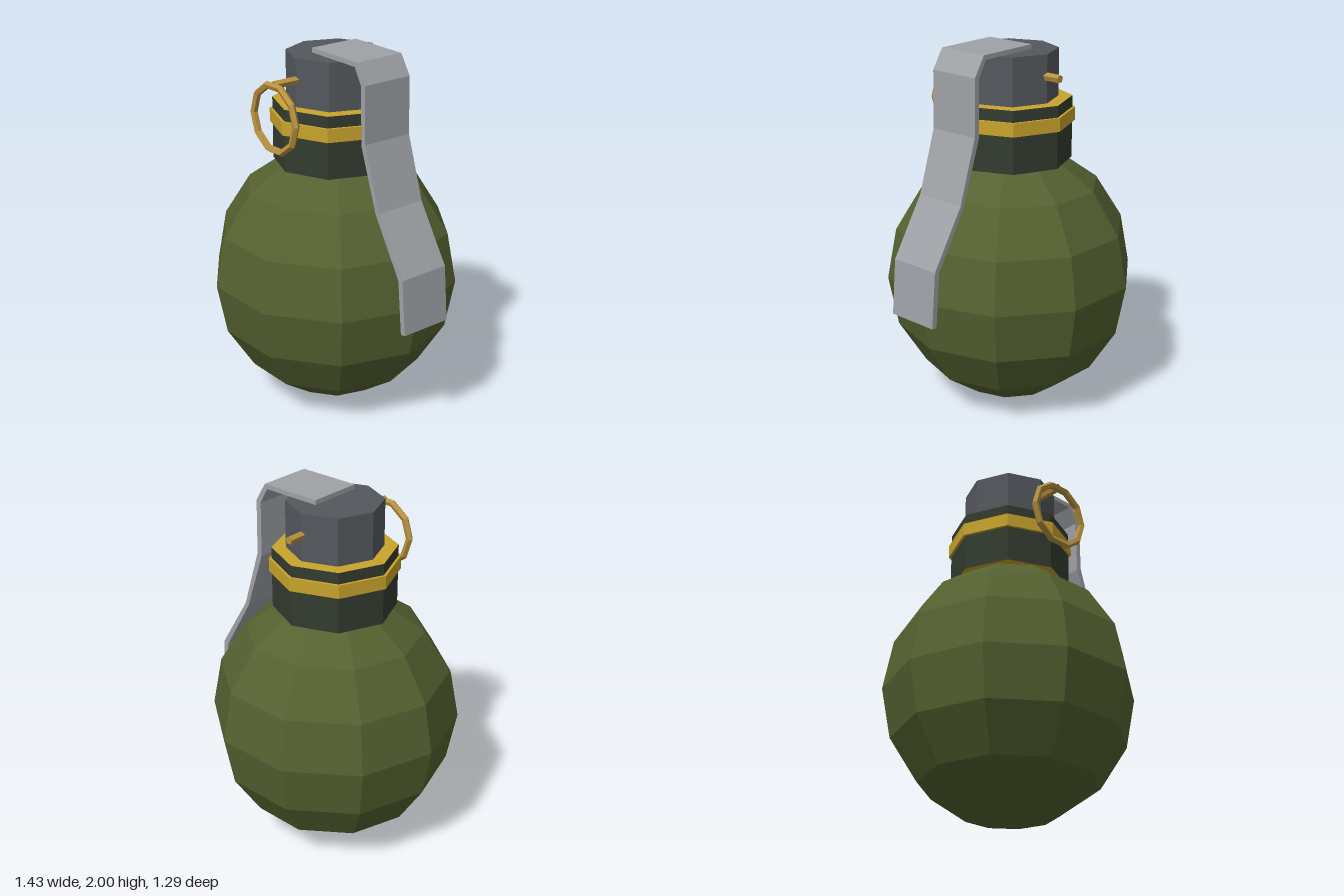
import * as THREE from 'three';

const AXIS_X = -0.035; // the turned parts sit slightly left of the lever

const material = (name, color) => {
  const m = new THREE.MeshStandardMaterial({ color, flatShading: true });
  m.name = name;
  return m;
};

export function createModel() {
  const group = new THREE.Group();
  const green = material('olive green', 0x556130);
  const darkGreen = material('dark green', 0x333b2f);
  const gold = material('gold', 0xc8a32c);
  const brass = material('brass', 0xb8923f);
  const darkGrey = material('dark grey', 0x54585d);
  const grey = material('light grey', 0x9fa1a6);

  const add = (name, geometry, mat, x, y, z) => {
    const mesh = new THREE.Mesh(geometry, mat);
    mesh.name = name;
    mesh.position.set(x, y, z);
    group.add(mesh);
  };
  // Eight-sided drum between two heights
  const drum = (name, r, y0, y1, mat) =>
    add(name, new THREE.CylinderGeometry(r, r, y1 - y0, 8), mat, AXIS_X, (y0 + y1) / 2, 0);

  // Faceted round body
  const body = new THREE.SphereGeometry(0.68, 10, 8);
  body.scale(1, 0.722 / 0.68, 1);
  add('body', body, green, AXIS_X, 0.722, 0);

  // Neck: dark sides with gold end faces, a gold band and a grey cap
  drum('collar', 0.33, 1.367, 1.705, [darkGreen, gold, gold]);
  drum('collarBand', 0.345, 1.57, 1.643, gold);
  drum('cap', 0.255, 1.65, 1.962, darkGrey);

  // Cross pin and the pull ring hanging from its front end
  const pin = new THREE.CylinderGeometry(0.022, 0.022, 0.738, 5);
  pin.rotateX(-Math.PI / 2);
  add('pin', pin, brass, AXIS_X, 1.846, 0.026);
  add('pullRing', new THREE.TorusGeometry(0.178, 0.02, 5, 10), brass, AXIS_X, 1.668, 0.392);

  // Bent lever strip: outer edge down, inner edge back up
  const outline = [
    [-0.035, 2], [0.32, 1.995], [0.385, 1.89], [0.39, 1.585], [0.497, 1.25], [0.685, 0.945], [0.712, 0.645],
    [0.682, 0.643], [0.655, 0.935], [0.475, 1.24], [0.36, 1.575], [0.355, 1.88], [0.305, 1.97], [-0.035, 1.975],
  ].map(([x, y]) => new THREE.Vector2(x, y));
  const width = 0.295;
  const lever = new THREE.ExtrudeGeometry(new THREE.Shape(outline), { depth: width, bevelEnabled: false });
  add('lever', lever, grey, 0, 0, -width / 2);

  return group;
}
